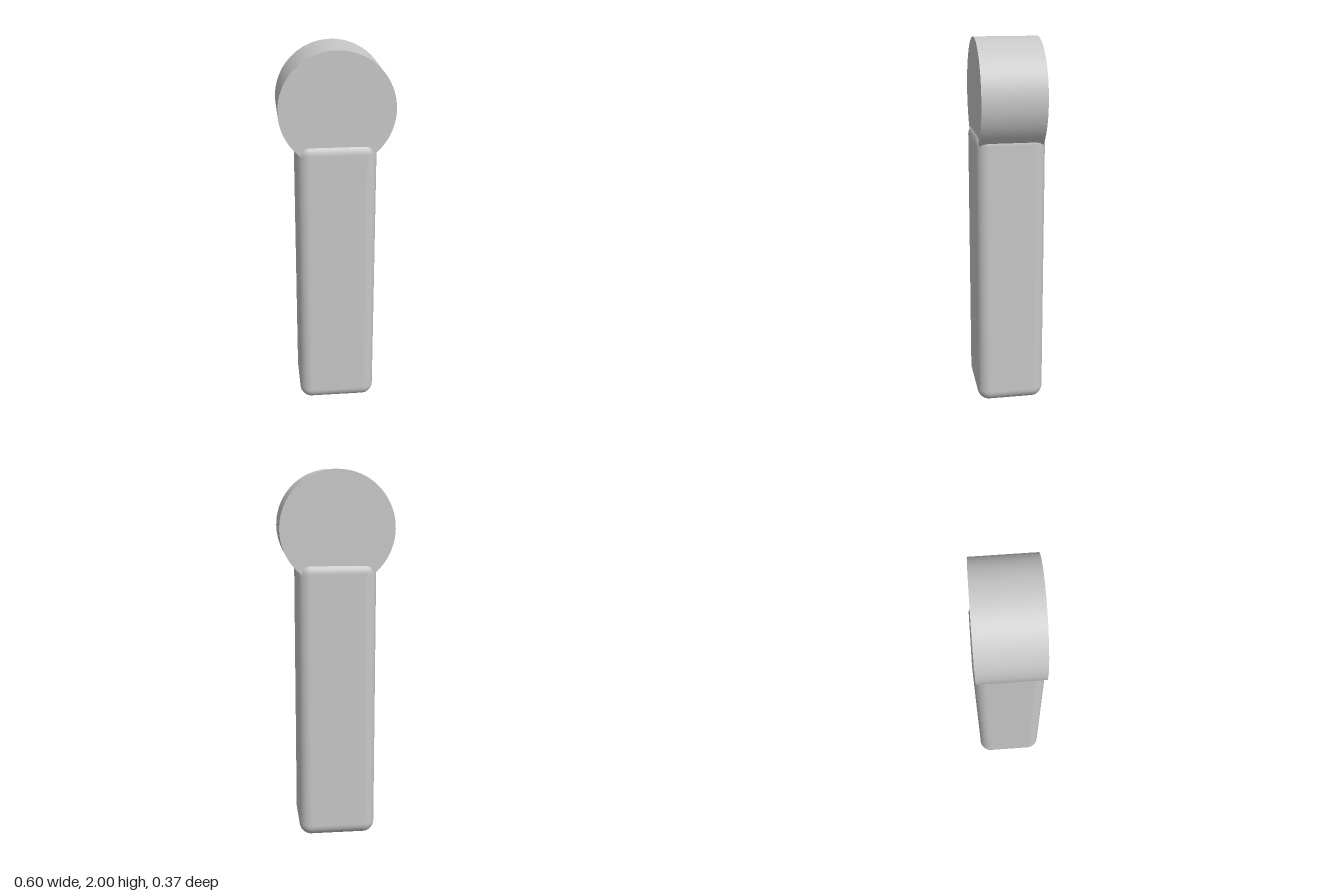
import * as THREE from 'three';
import { RoundedBoxGeometry } from 'three/addons/geometries/RoundedBoxGeometry.js';

export function createModel() {
  const model = new THREE.Group();
  const grey = new THREE.MeshStandardMaterial({ color: 0xc8c8c8 });
  grey.name = 'lightGrey';

  // Upright handle with softly rounded edges
  const height = 1.53;
  const handle = new THREE.Mesh(new RoundedBoxGeometry(0.418, height, 0.368, 8, 0.065), grey);
  handle.name = 'handle';
  handle.position.y = height / 2;
  model.add(handle);

  // Round head: a short drum lying front to back, sunk into the handle
  const radius = 0.302;
  const head = new THREE.Mesh(new THREE.CylinderGeometry(radius, radius, 0.338, 96), grey);
  head.name = 'head';
  head.rotation.set(Math.PI / 2, 0, 0);
  head.position.y = 2 - radius;
  model.add(head);

  return model;
}
